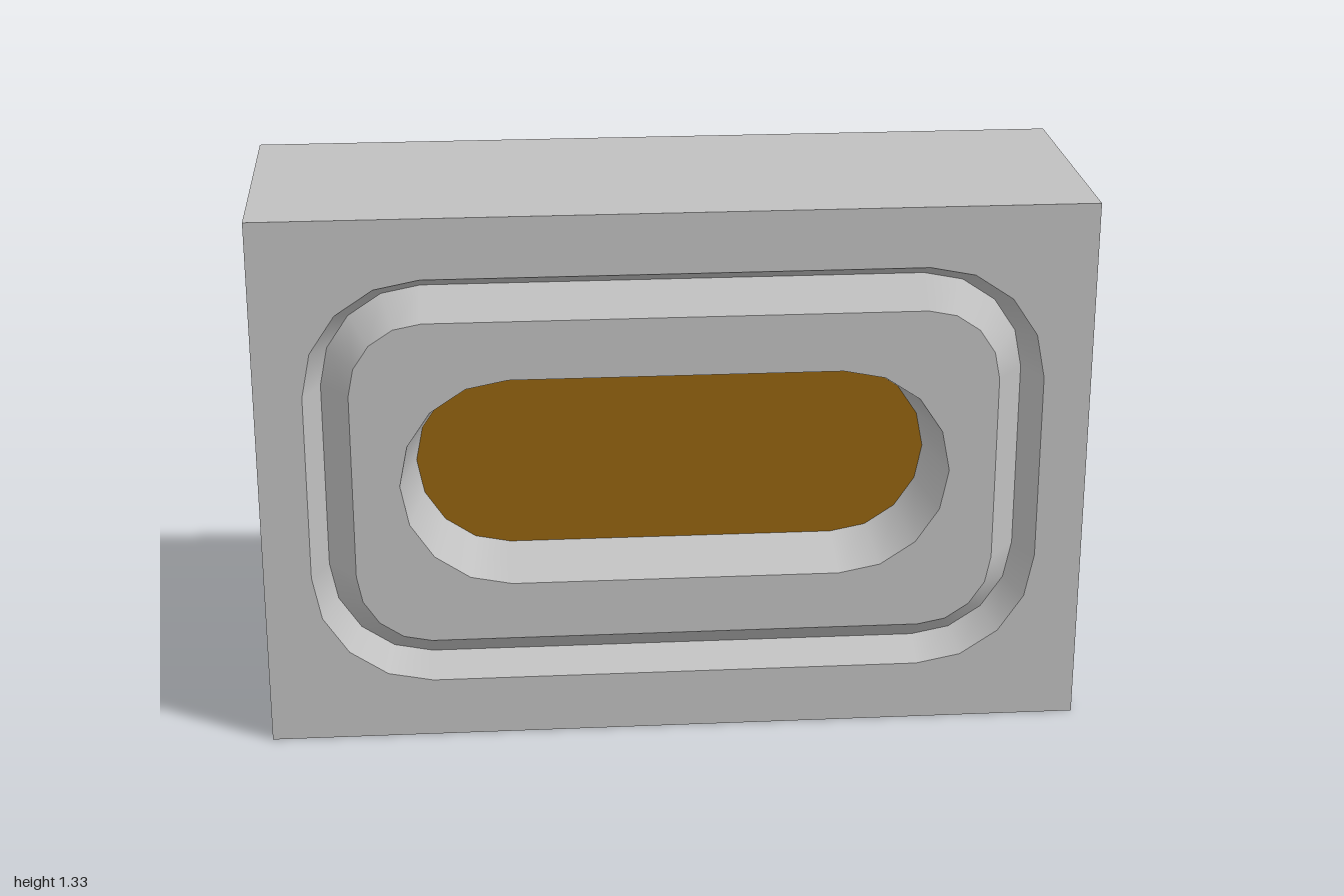
import * as THREE from 'three';

const W = 2, H = 1.333, D = 0.667, MID = H / 2;
const GROOVE = 0.085, POCKET = 0.168; // recess depths
const SEG = 4;                        // segments per rounded corner

// Rounded outline: corner centres at (+-cx, +-cy) with radius r, anticlockwise
function outline(cx, cy, r) {
  const pts = [];
  [[1, 1], [-1, 1], [-1, -1], [1, -1]].forEach(([sx, sy], q) => {
    for (let i = 0; i <= SEG; i++) {
      const a = (q + i / SEG) * Math.PI / 2;
      pts.push({ x: sx * cx + r * Math.cos(a), y: sy * cy + r * Math.sin(a), a });
    }
  });
  return pts;
}

// Sloping wall between an outer and an inner outline, smooth round the corners
function wall(outer, inner, rOut, rIn, zOut, zIn) {
  const pos = [], nor = [], idx = [], n = outer.length;
  const dr = rIn - rOut, dz = zIn - zOut, len = Math.hypot(dr, dz);
  const side = Math.sign(-dr) || 1;
  for (let i = 0; i < n; i++) {
    const o = outer[i], p = inner[i];
    pos.push(o.x, o.y, zOut, p.x, p.y, zIn);
    for (let k = 0; k < 2; k++) {
      nor.push(side * dz / len * Math.cos(o.a), side * dz / len * Math.sin(o.a), -side * dr / len);
    }
    const a = 2 * i, b = 2 * ((i + 1) % n);
    idx.push(a, b, b + 1, a, b + 1, a + 1);
  }
  const g = new THREE.BufferGeometry();
  g.setAttribute('position', new THREE.Float32BufferAttribute(pos, 3));
  g.setAttribute('normal', new THREE.Float32BufferAttribute(nor, 3));
  g.setIndex(idx);
  return g;
}

// Flat face with an optional hole
function flat(pts, hole, z) {
  const toV = list => list.map(p => new THREE.Vector2(p.x, p.y));
  const shape = new THREE.Shape(toV(pts));
  if (hole) shape.holes.push(new THREE.Path(toV(hole)));
  return new THREE.ShapeGeometry(shape).translate(0, 0, z);
}

export function createModel() {
  const grey = new THREE.MeshStandardMaterial({ color: 0xc0c0c0 });
  grey.name = 'grey';
  const brown = new THREE.MeshStandardMaterial({ color: 0x936310 });
  brown.name = 'brown';

  const model = new THREE.Group();
  model.name = 'recessedBlock';
  const add = (parent, name, geometry, material) => {
    const m = new THREE.Mesh(geometry, material);
    m.name = name;
    parent.add(m);
  };

  // Top, bottom and ends of the block: a box without its front and back
  const box = new THREE.BoxGeometry(W, H, D);
  box.setIndex(Array.from(box.index.array).slice(0, 24));
  box.clearGroups();
  box.translate(0, MID, 0);
  add(model, 'blockSides', box, grey);

  // Outlines from the outside in
  const rA = 0.285, rB = 0.245, rC = 0.177, rD = 0.264, rE = 0.225;
  const rect = [[-1, -1], [1, -1], [1, 1], [-1, 1]].map(([x, y]) => ({ x: x * W / 2, y: y * MID }));
  const rim = outline(0.6, 0.233, rA);
  const valley = outline(0.6, 0.233, rB);
  const crest = outline(0.6, 0.233, rC);
  const mouth = outline(0.4, 0, rD);
  const floor = outline(0.4, 0, rE);
  const z = D / 2;

  // Identical recessed panel on the front and the back
  for (const [name, turn] of [['frontPanel', 0], ['backPanel', Math.PI]]) {
    const panel = new THREE.Group();
    panel.name = name;
    panel.position.y = MID;
    panel.rotation.y = turn;
    add(panel, 'border', flat(rect, rim, z), grey);
    add(panel, 'grooveOuterWall', wall(rim, valley, rA, rB, z, z - GROOVE), grey);
    add(panel, 'grooveInnerWall', wall(valley, crest, rB, rC, z - GROOVE, z), grey);
    add(panel, 'plateau', flat(crest, mouth, z), grey);
    add(panel, 'pocketWall', wall(mouth, floor, rD, rE, z, z - POCKET), grey);
    add(panel, 'pocketFloor', flat(floor, null, z - POCKET), brown);
    model.add(panel);
  }
  return model;
}
